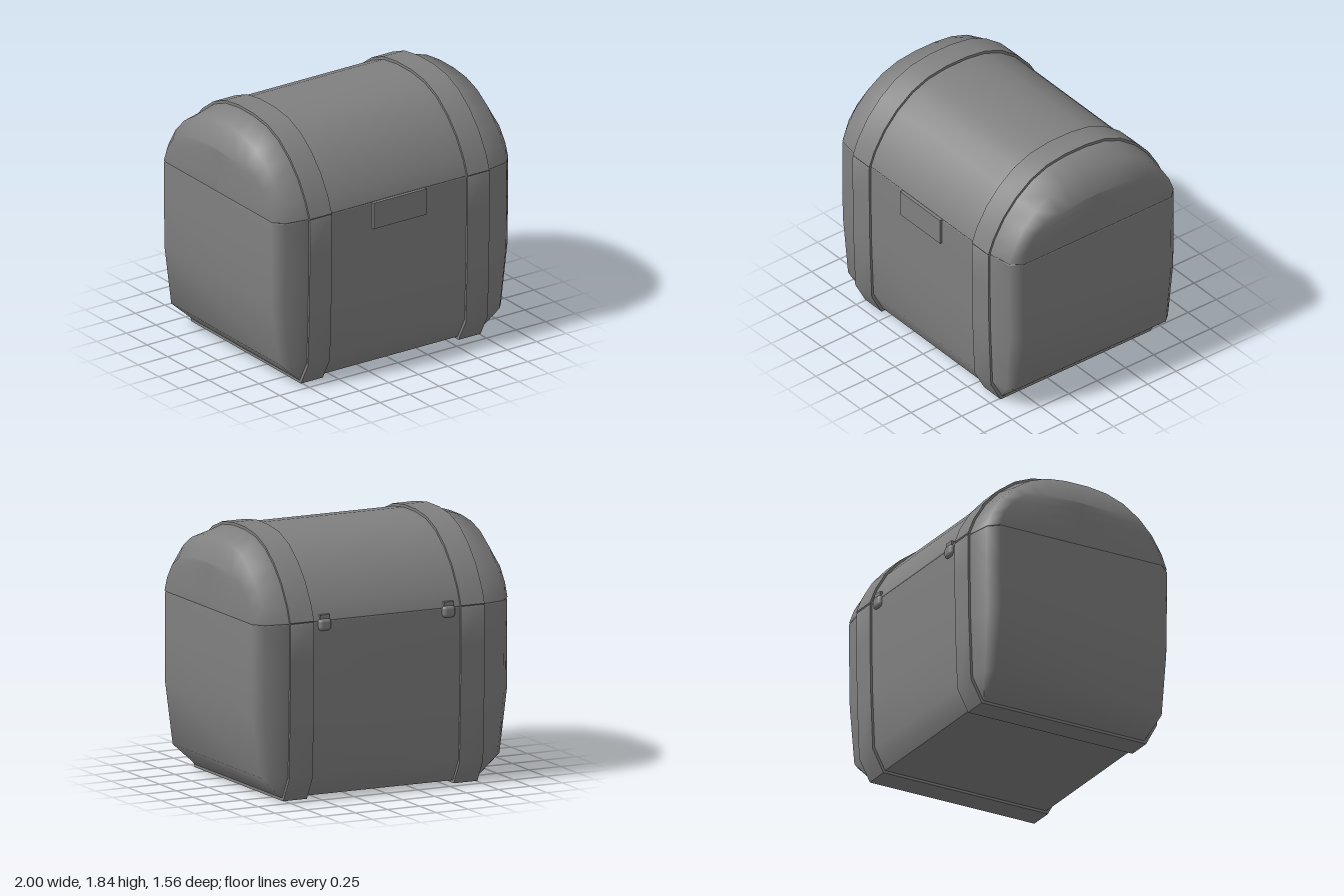
import * as THREE from 'three';
import { toCreasedNormals } from 'three/addons/utils/BufferGeometryUtils.js';
import { RoundedBoxGeometry } from 'three/addons/geometries/RoundedBoxGeometry.js';

const SEAM = 1.27, LID_HEIGHT = 0.55;
const material = new THREE.MeshStandardMaterial({ color: 0x808080, side: THREE.DoubleSide });

// Body levels: [height, half width, half depth, corner size]
const bodyLevels = [[0.02, 0.76, 0.65, 0.05], [0.18, 0.935, 0.735, 0.73], [0.63, 1, 0.752, 1],
  [1, 1, 0.757, 1], [1.262, 1, 0.757, 1], [SEAM, 0.995, 0.752, 1]];

// Profiles as [z, y], running from back over the top to front, or front under the bottom to back
const mirrorZ = (pts) => pts.map(([z, y]) => [-z, y]).reverse();
const bodyHalf = bodyLevels.map(([y, , z]) => [z, y]).reverse();
const bodyProfile = [...bodyHalf, ...mirrorZ(bodyHalf)];
const lidHalf = [[0.09, 1.82], [0.25, 1.797], [0.39, 1.74], [0.52, 1.645], [0.63, 1.525],
  [0.715, 1.385], [0.757, 1.278], [0.752, SEAM]];
const lidProfile = [...mirrorZ(lidHalf), ...lidHalf];

// Skins rows of [x, y, z] points with a smooth surface
function skin(rows, closed = false) {
  const n = rows[0].length, index = [];
  for (let r = 0; r < rows.length - 1; r++) {
    for (let i = 0; i < (closed ? n : n - 1); i++) {
      const a = r * n + i, b = r * n + (i + 1) % n;
      index.push(a, b, a + n, b, b + n, a + n);
    }
  }
  const geo = new THREE.BufferGeometry();
  geo.setAttribute('position', new THREE.Float32BufferAttribute(rows.flat(2), 3));
  geo.setIndex(index);
  geo.computeVertexNormals();
  return geo;
}

// Plan outline of the body at one level, with bevelled corners
function bodyRing([y, X, Z, k]) {
  const c = [[X - 0.24 * k, Z], [X - 0.065 * k, Z - 0.03 * k], [X, Z - 0.105 * k]];
  const back = c.map(([x, z]) => [x, -z]).reverse();
  const half = [...c, ...back];
  return [...half, ...half.map(([x, z]) => [-x, -z])].map(([x, z]) => [x, y, z]);
}

// Lid section at x: depth scaled, and the crown lowered to the given top
function lidSection([x, depth, top]) {
  return lidProfile.map(([z, y]) => {
    const h = y - SEAM, drop = 1 - (top - SEAM) / LID_HEIGHT;
    return [y === SEAM ? x * 0.995 : x, SEAM + h * (1 - drop * h / LID_HEIGHT), z * depth];
  });
}

// Strap following a profile, slightly proud of the shell, with closed sides
function strap(profile, x0, x1) {
  const rows = [[x0, 0], [x0, 1.021], [x1, 1.021], [x1, 0]].map(([x, depth]) =>
    profile.map(([z, y]) => [x, SEAM + (y - SEAM) * (y < SEAM ? 1.016 : 1.036), z * depth]));
  return toCreasedNormals(skin(rows), 0.6);
}

export function createModel() {
  const chest = new THREE.Group();
  chest.name = 'chest';
  const add = (name, geo, x = 0, y = 0, z = 0) => {
    const mesh = new THREE.Mesh(geo, material);
    mesh.name = name;
    mesh.position.set(x, y, z);
    chest.add(mesh);
  };

  // Body: stacked rings, with the lowest repeated for a crisp edge to the flat base
  const rings = bodyLevels.map(bodyRing);
  const baseCentre = rings[0].map(([, y]) => [0, y, 0]);
  add('body', skin([baseCentre, rings[0], ...rings], true));

  // Lid: full arch in the middle, tapering to closed ends
  const half = [[0.5, 1, 1.82], [0.76, 1, 1.82], [0.935, 0.96, 1.765], [1, 0.865, 1.59], [1, 0, 1.59]];
  const stations = [...half.map(([x, ...r]) => [-x, ...r]).reverse(), ...half];
  add('lid', skin(stations.map(lidSection)));

  // Raised straps around the chest, split at the seam
  for (const [side, x0, x1] of [['left', 0.575, 0.76], ['right', -0.76, -0.575]]) {
    add(side + 'BodyStrap', strap(bodyProfile, x0, x1));
    add(side + 'LidStrap', strap(lidProfile, x0, x1));
  }

  // Latch plate at the front
  add('latch', new THREE.BoxGeometry(0.445, 0.195, 0.05), 0, 1.1725, 0.752);

  // Two hinges at the back: a rounded knuckle with a small leaf on the lid
  for (const [side, s] of [['left', 1], ['right', -1]]) {
    add(side + 'HingeKnuckle', new RoundedBoxGeometry(0.1, 0.09, 0.07, 4, 0.03), s * 0.485, 1.245, -0.748);
    add(side + 'HingeLeaf', new THREE.BoxGeometry(0.075, 0.05, 0.03), s * 0.485, 1.29, -0.752);
  }
  return chest;
}
